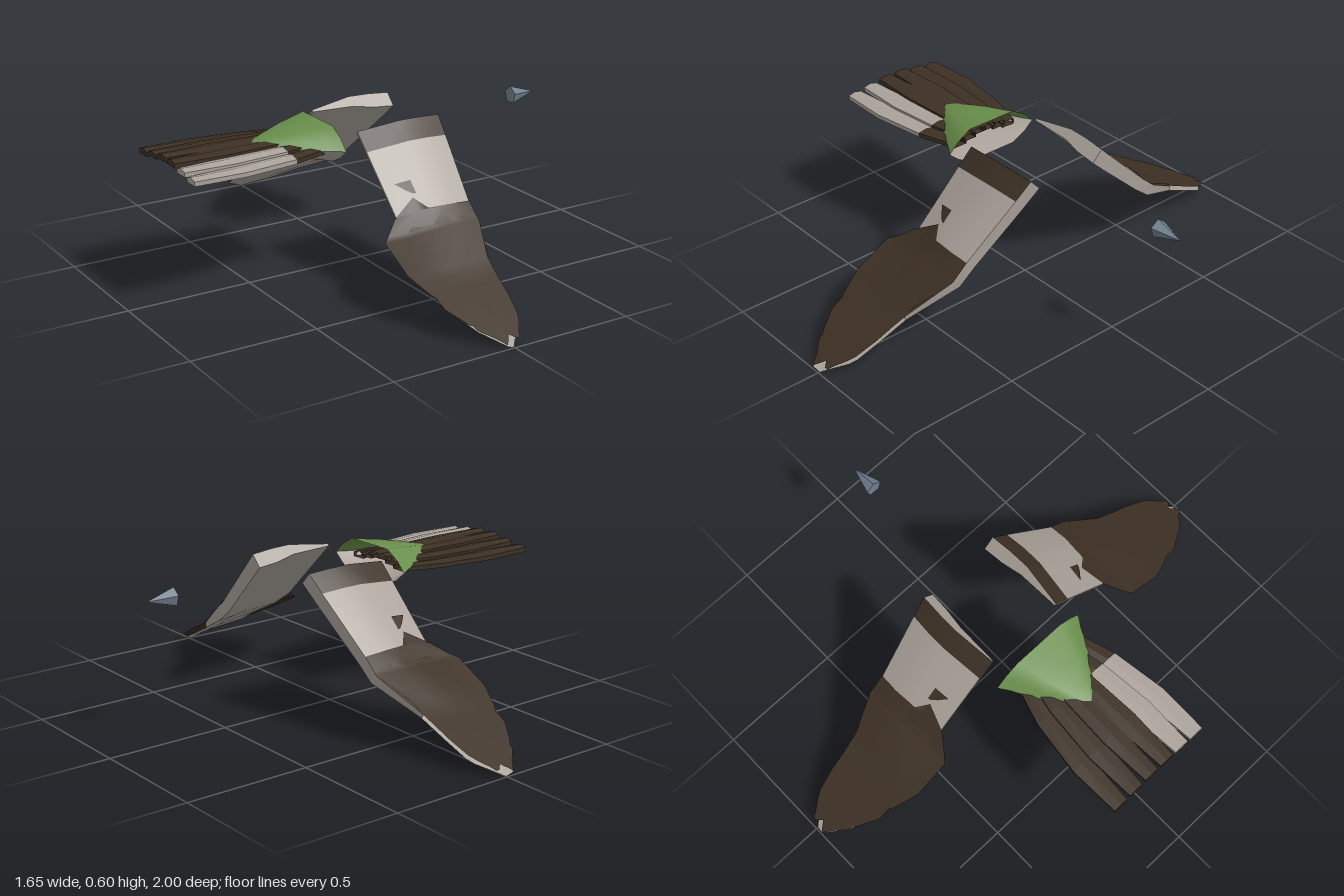
import * as THREE from 'three';

const mat = (name, color) => {
  const m = new THREE.MeshStandardMaterial({ color, side: THREE.DoubleSide });
  m.name = name;
  return m;
};

// Surface through rows of points; every row has the same count
function strip(rows, flip = false, flat = false) {
  const n = rows[0].length, index = [];
  for (let i = 0; i < rows.length - 1; i++) {
    for (let j = 0; j < n - 1; j++) {
      const a = i * n + j, b = a + n, c = b + 1, d = a + 1;
      if (flip) index.push(a, d, b, b, d, c);
      else index.push(a, b, d, b, c, d);
    }
  }
  let g = new THREE.BufferGeometry();
  g.setAttribute('position', new THREE.Float32BufferAttribute(rows.flat(2), 3));
  g.setIndex(index);
  if (flat) g = g.toNonIndexed();
  g.computeVertexNormals();
  return g;
}

const clamp = THREE.MathUtils.clamp;
// Piecewise linear lookup in [[key, value], ...]
function lookup(table, k) {
  let i = 0;
  while (i < table.length - 2 && k > table[i + 1][0]) i++;
  const [a, va] = table[i], [b, vb] = table[i + 1];
  return va + (vb - va) * (k - a) / (b - a);
}

const HEIGHT = [[0.185, 0.61], [0.5, 0.305], [0.69, 0.177], [1, 0.022]];
const THICK = [[0.185, 0.062], [0.5, 0.05], [0.69, 0.024], [1, 0.018]];

// Point on the drooping, cambered wing surface, moved along its normal
function wingPoint(x, z, offset, s) {
  const fade = clamp((0.69 - z) / 0.19, 0, 1);
  const camber = -0.03 * clamp((0.06 - x) / 0.18, 0, 1) - 0.012 * clamp((x - 0.12) / 0.1, 0, 1);
  const d = camber * fade + offset;
  return [x, lookup(HEIGHT, z) + 0.72 * d, s * (z + 0.69 * d * (z < 0.69 ? 1 : 0.5))];
}

export function createModel() {
  const brown = mat('dark brown', 0x3d3024);
  const grey = mat('warm grey', 0xaaa29a);
  const green = mat('moss green', 0x6a8f4c);
  const slate = mat('slate blue', 0x708090);
  const model = new THREE.Group();
  model.name = 'bird';
  const add = (parent, name, geo, material) => {
    const m = new THREE.Mesh(geo, material);
    m.name = name;
    parent.add(m);
  };

  // Wing slab stations: z, trailing x, leading x
  const slab = [[0.185, -0.12, 0.235], [0.25, -0.12, 0.225], [0.455, -0.12, 0.19],
    [0.52, -0.1, 0.19], [0.69, -0.11, 0.12]];
  const under = [slab[4], [0.8, -0.15, 0.105], [0.89, -0.115, 0.09], [0.92, -0.1, 0.075], [1, -0.03, 0.0]];
  // Dark outer feathers: inner spike, stepped trailing edge, tip
  const outer = [[0.41, -0.03, -0.03], [0.45, -0.12, 0.01], [0.455, -0.13, 0.19], [0.5, -0.19, 0.19],
    [0.52, -0.215, 0.19], [0.65, -0.215, 0.13], [0.69, -0.2, 0.125], [0.75, -0.176, 0.115],
    [0.755, -0.168, 0.115], [0.81, -0.165, 0.108], [0.89, -0.117, 0.09], [0.895, -0.108, 0.088],
    [0.92, -0.1, 0.074], [0.96, -0.06, 0.045]];
  const tips = [[[0.96, -0.06, 0], [0.998, -0.03, -0.03]], [[0.96, 0, 0.045], [0.98, 0.02, 0.035]]];
  const patch = [[0.36, -0.075, -0.01], [0.385, -0.045, -0.01], [0.4, -0.02, -0.01]];

  for (const s of [1, -1]) {
    const wing = new THREE.Group();
    wing.name = s > 0 ? 'leftWing' : 'rightWing';
    model.add(wing);
    const flip = s < 0;
    const across = (xt, xl) => [0, 0.25, 0.5, 0.75, 1].map(t => [xt + (xl - xt) * t, t]);
    const top = ([z, xt, xl], off = 0) => across(xt, xl).map(([x]) => wingPoint(x, z, off, s));
    const bottom = ([z, xt, xl]) => across(xt, xl).map(([x, t]) =>
      wingPoint(x, z, -lookup(THICK, z) * (0.15 + 0.85 * Math.min(1, t * 1.35)), s)).reverse();
    const sheet = rows => strip(rows.map(r => top(r, 0.004)), flip);

    // Thick inner wing
    add(wing, 'shoulderBand', strip(slab.slice(0, 2).map(r => top(r)), flip), brown);
    add(wing, 'wingPanel', strip(slab.slice(1, 3).map(r => top(r)), flip), grey);
    add(wing, 'outerWingPanel', strip(slab.slice(2).map(r => top(r)), flip), brown);
    add(wing, 'wingUnderside', strip(slab.map(r => bottom(r)), flip), grey);
    add(wing, 'leadingEdge', strip(slab.map(r => [top(r)[4], bottom(r)[0]]), flip), grey);
    add(wing, 'trailingEdge', strip(slab.map(r => [bottom(r)[4], top(r)[0]]), flip), grey);
    add(wing, 'wingRoot', strip([bottom(slab[0]).reverse(), top(slab[0])], flip), grey);

    // Thin outer feathers, dark above and pale below
    add(wing, 'tipUnderside', strip(under.map(r => bottom(r)), flip), grey);
    add(wing, 'flightFeathers', sheet(outer), brown);
    tips.forEach(t => add(wing, 'featherTip', sheet(t), brown));
    add(wing, 'featherPatch', sheet(patch), brown);
  }

  // Rump: open shell, green above and pale below
  const tail = new THREE.Group();
  tail.name = 'tail';
  model.add(tail);
  // x, half width, bottom, middle, top
  const rump = [[-0.195, 0.21, 0.47, 0.535, 0.61], [-0.24, 0.18, 0.48, 0.537, 0.604],
    [-0.32, 0.14, 0.494, 0.54, 0.593], [-0.41, 0.08, 0.507, 0.542, 0.577],
    [-0.46, 0.045, 0.514, 0.542, 0.566], [-0.53, 0.012, 0.522, 0.54, 0.55]];
  const arc = [[-1, 0], [-0.8, 0.55], [-0.52, 1], [0, 1], [0.52, 1], [0.8, 0.55], [1, 0]];
  add(tail, 'rumpTop', strip(rump.map(([x, w, , m, t]) =>
    arc.map(([u, v]) => [x, m + (t - m) * v, u * w]))), green);
  add(tail, 'rumpUnderside', strip(rump.map(([x, w, b, m]) =>
    arc.map(([u, v]) => [x, m + (b - m) * v, -u * w]))), grey);

  // Six tail feathers fanning backward: x, spread, half width
  const quill = [[-0.24, 0.62, 0.03], [-0.4, 0.84, 0.037], [-0.62, 0.97, 0.042], [-0.825, 1, 0.031]];
  for (let i = 0; i < 6; i++) {
    const k = i - 2.5, y = 0.562 - 0.011 * Math.abs(k), h = 0.0125;
    const rows = quill.map(([x, spread, w]) => {
      const z = k * 0.078 * spread;
      return [[x, y - h, z - w], [x, y + h * 0.4, z - w], [x, y + h, z],
        [x, y + h * 0.4, z + w], [x, y - h, z + w], [x, y - h, z - w]];
    });
    const e = rows[3];
    const color = i > 3 ? grey : brown;
    add(tail, 'tailFeatherBase', strip(rows.slice(0, 2), false, true), brown);
    add(tail, 'tailFeather', strip(rows.slice(1), false, true), color);
    add(tail, 'tailFeatherEnd', strip([[e[0], e[0], e[4]], [e[1], e[2], e[3]]], true, true), color);
  }

  // Five-sided beak pointing forward
  const beak = new THREE.ConeGeometry(0.036, 0.115, 5).toNonIndexed();
  beak.rotateY(-Math.PI / 2).rotateZ(-Math.PI / 2).translate(0.768, 0.56, 0);
  beak.computeVertexNormals();
  add(model, 'beak', beak, slate);

  return model;
}
